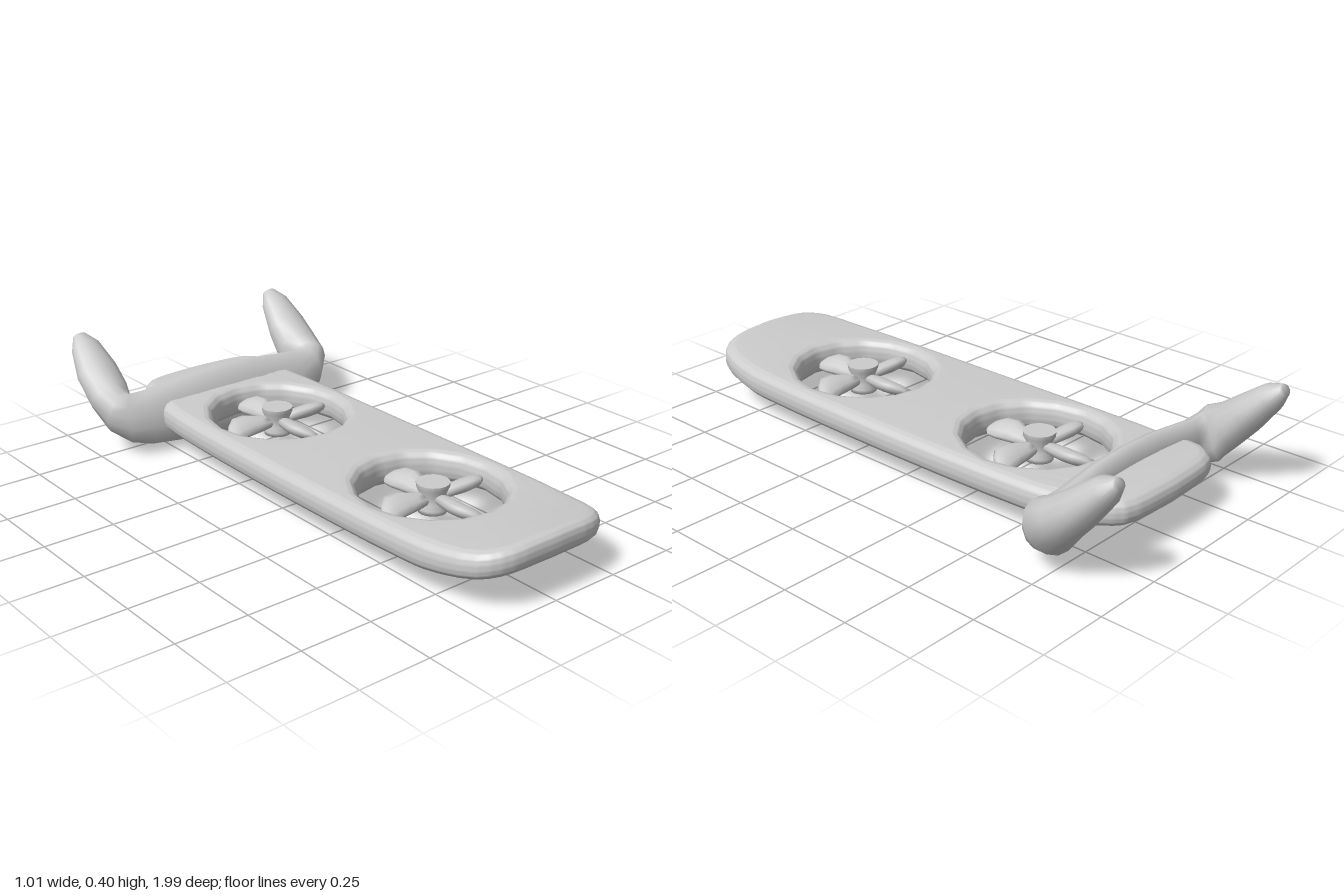
import * as THREE from 'three';
import { mergeVertices } from 'three/addons/utils/BufferGeometryUtils.js';

const material = new THREE.MeshStandardMaterial({ color: 0xcccccc });

function addMesh(parent, name, geometry) {
  const mesh = new THREE.Mesh(geometry, material);
  mesh.name = name;
  parent.add(mesh);
  return mesh;
}

// Closed skin over elliptical sections { c: centre, a, b: half-axis vectors }, a x b along the path
function loft(sections, sides) {
  const pos = [], index = [];
  for (const { c, a, b } of sections) {
    for (let j = 0; j < sides; j++) {
      const t = (j / sides) * Math.PI * 2;
      for (let k = 0; k < 3; k++) pos.push(c[k] + a[k] * Math.cos(t) + b[k] * Math.sin(t));
    }
  }
  const last = sections.length - 1;
  for (let i = 0; i < last; i++) {
    for (let j = 0; j < sides; j++) {
      const p = i * sides + j, q = i * sides + (j + 1) % sides;
      index.push(p, q, p + sides, q, q + sides, p + sides);
    }
  }
  for (let j = 1; j < sides - 1; j++) {
    const e = last * sides;
    index.push(0, j + 1, j, e, e + j, e + j + 1);
  }
  const geo = new THREE.BufferGeometry();
  geo.setAttribute('position', new THREE.Float32BufferAttribute(pos, 3));
  geo.setIndex(index);
  geo.computeVertexNormals();
  return geo;
}

// Splits every triangle into four so that the surface can be bent
function subdivide(geometry) {
  const src = geometry.attributes.position, out = [];
  for (let i = 0; i < src.count; i += 3) {
    const [a, b, c] = [0, 1, 2].map(k => new THREE.Vector3().fromBufferAttribute(src, i + k));
    const ab = a.clone().lerp(b, 0.5), bc = b.clone().lerp(c, 0.5), ca = c.clone().lerp(a, 0.5);
    for (const v of [a, ab, ca, ab, b, bc, ca, bc, c, ab, bc, ca]) out.push(v.x, v.y, v.z);
  }
  const geo = new THREE.BufferGeometry();
  geo.setAttribute('position', new THREE.Float32BufferAttribute(out, 3));
  return geo;
}

// Long deck with two round openings, rounded edges, a slight crown and a raised nose
function deckGeometry() {
  const half = [[0.12, 0.99], [0.2, 0.97], [0.255, 0.92], [0.29, 0.8], [0.305, 0.65], [0.313, 0.3],
    [0.313, -0.2], [0.305, -0.55], [0.287, -0.72], [0.268, -0.81], [0.22, -0.87], [0.11, -0.89]];
  const outline = [...half, ...half.map(([x, z]) => [-x, z]).reverse()]
    .map(([x, z]) => new THREE.Vector3(x, z, 0));
  const curve = new THREE.CatmullRomCurve3(outline, true);
  const points = curve.getPoints(48).slice(0, -1).map(p => new THREE.Vector2(p.x, p.y));
  const shape = new THREE.Shape(points);
  // Openings run against the outline so that their walls face inwards
  for (const z of [0.45, -0.35]) {
    shape.holes.push(new THREE.Path().absellipse(0, z, 0.23, 0.25, 0, Math.PI * 2, false));
  }
  let geo = new THREE.ExtrudeGeometry(shape, {
    depth: 0.025, curveSegments: 8, bevelThickness: 0.045, bevelSize: 0.036, bevelOffset: -0.036, bevelSegments: 3,
  });
  geo.rotateX(Math.PI / 2);
  geo.translate(0, 0.1375, 0);
  geo = subdivide(subdivide(geo));
  const p = geo.attributes.position;
  for (let i = 0; i < p.count; i++) {
    const z = p.getZ(i), side = (p.getX(i) / 0.31) ** 2;
    const nose = Math.max(0, (z - 0.7) / 0.3), tail = Math.max(0, (-0.65 - z) / 0.24);
    const thickness = (1 - 0.2 * nose - 0.25 * tail * tail) * (1 - 0.15 * side);
    const lift = 0.01 * z * z + 0.047 * nose ** 1.5 * (1 - 0.4 * side) + 0.022 * Math.min(1, tail * 1.5);
    p.setY(i, 0.125 + (p.getY(i) - 0.125) * thickness + lift);
  }
  geo = mergeVertices(geo, 1e-4);
  geo.computeVertexNormals();
  return geo;
}

// Tall bumper across the tail that turns into a raised, swept-back arm at each end
function bumperGeometry() {
  const half = [
    { c: [0.14, 0.128, -0.684], a: [0, 0.118, -0.022], b: [0, 0, 0.053] },
    { c: [0.33, 0.127, -0.695], a: [0, 0.098, -0.02], b: [0.005, 0, 0.055] },
    { c: [0.395, 0.135, -0.708], a: [0, 0.09, -0.005], b: [0.035, 0, 0.057] },
    { c: [0.42, 0.158, -0.745], a: [0, 0.085, 0.035], b: [0.068, 0, 0.04] },
    { c: [0.425, 0.205, -0.8], a: [0, 0.06, 0.045], b: [0.08, 0, 0.012] },
    { c: [0.427, 0.27, -0.87], a: [0, 0.05, 0.04], b: [0.079, 0, 0] },
    { c: [0.427, 0.345, -0.945], a: [0, 0.036, 0.03], b: [0.055, 0, 0] },
    { c: [0.428, 0.38, -0.985], a: [0, 0.016, 0.013], b: [0.025, 0, 0] },
  ];
  const mirror = ({ c, a, b }) => ({ c: [-c[0], c[1], c[2]], a, b: [-b[0], b[1], b[2]] });
  const middle = { c: [0, 0.125, -0.682], a: [0, 0.125, -0.022], b: [0, 0, 0.052] };
  return loft([...half.map(mirror).reverse(), middle, ...half], 14);
}

// Blade along +x with a pitched, leaf-like section: [radius, sideways offset, half width, half thickness]
function bladeGeometry() {
  const pitch = 0.45, s = Math.sin(pitch), k = Math.cos(pitch);
  const rows = [[0.03, 0, 0.022, 0.018], [0.07, 0.004, 0.033, 0.022], [0.12, 0.012, 0.046, 0.024],
    [0.165, 0.008, 0.047, 0.022], [0.195, -0.004, 0.034, 0.016], [0.21, -0.01, 0.014, 0.007]];
  return loft(rows.map(([r, o, w, t]) => ({
    c: [r, o * s, o * k], a: [0, t * k, -t * s], b: [0, w * s, w * k],
  })), 10);
}

function createFan(name, z, blade) {
  const fan = new THREE.Group();
  fan.name = name;
  const profile = [[0, 0.09], [0.048, 0.09], [0.05, 0.105], [0.043, 0.125], [0.043, 0.15],
    [0.054, 0.175], [0.055, 0.19], [0.055, 0.19], [0, 0.19]].map(([r, y]) => new THREE.Vector2(r, y));
  addMesh(fan, 'hub', new THREE.LatheGeometry(profile, 16));
  for (let i = 0; i < 4; i++) {
    const mesh = addMesh(fan, 'blade' + (i + 1), blade);
    mesh.position.y = 0.14;
    mesh.rotation.y = i * Math.PI / 2;
  }
  fan.position.z = z;
  return fan;
}

export function createModel() {
  const model = new THREE.Group();
  model.name = 'fanBoard';
  addMesh(model, 'deck', deckGeometry());
  addMesh(model, 'rearBumper', bumperGeometry());
  const blade = bladeGeometry();
  model.add(createFan('frontFan', 0.46, blade), createFan('rearFan', -0.36, blade));
  return model;
}
